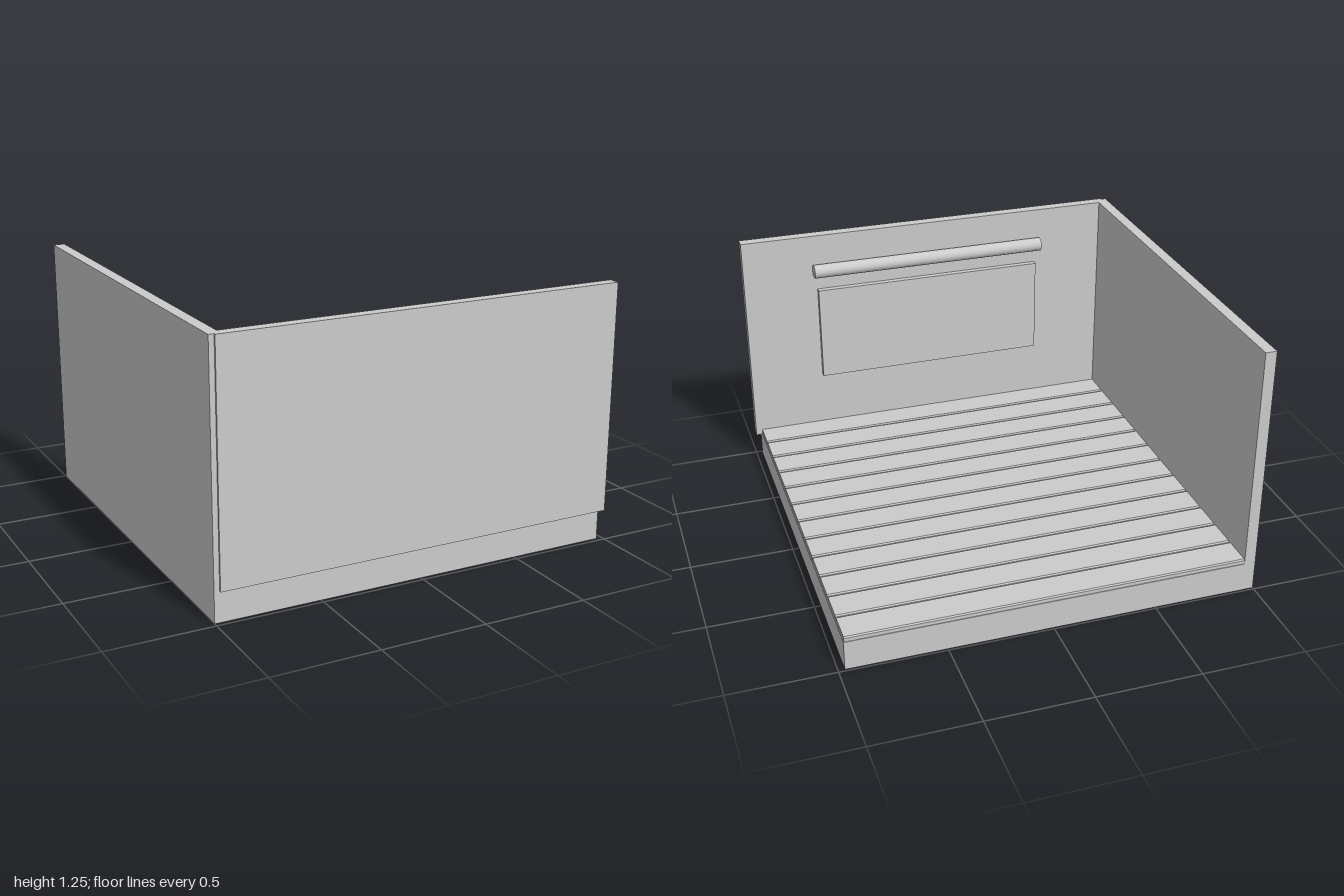
import * as THREE from 'three';

const material = new THREE.MeshStandardMaterial({ color: 0xcccccc });

// Box given by its minimum and maximum corners
function block(name, [x0, y0, z0], [x1, y1, z1]) {
  const mesh = new THREE.Mesh(new THREE.BoxGeometry(x1 - x0, y1 - y0, z1 - z0), material);
  mesh.position.set((x0 + x1) / 2, (y0 + y1) / 2, (z0 + z1) / 2);
  mesh.name = name;
  return mesh;
}

// Floorboard along x with chamfered upper long edges
function plank(z0, z1) {
  const bottom = 0.13, top = 0.17, c = 0.006, x0 = -0.97, x1 = 0.967;
  const shape = new THREE.Shape([
    [-z1, bottom], [-z0, bottom], [-z0, top - c], [-z0 - c, top], [-z1 + c, top], [-z1, top - c],
  ].map(([a, b]) => new THREE.Vector2(a, b)));
  const geometry = new THREE.ExtrudeGeometry(shape, { depth: x1 - x0, bevelEnabled: false });
  geometry.rotateY(Math.PI / 2); // profile axis becomes -z, depth becomes +x
  geometry.translate(x0, 0, 0);
  const mesh = new THREE.Mesh(geometry, material);
  mesh.name = 'floorPlank';
  return mesh;
}

export function createModel() {
  const model = new THREE.Group();
  model.name = 'roomCorner';

  // Base slab and the two walls
  model.add(block('floorSlab', [-1, 0, -0.99], [0.97, 0.146, 0.98]));
  model.add(block('sideWall', [-1, 0.146, -0.99], [-0.945, 1.245, 0.98]));
  model.add(block('frontWall', [-0.975, 0.142, 0.935], [1, 1.245, 0.99]));

  // Floorboards separated by narrow grooves
  const planks = new THREE.Group();
  planks.name = 'floorPlanks';
  const pitch = 0.162, gap = 0.008;
  for (let i = 0; i < 12; i++) {
    const start = -0.991 + i * pitch;
    planks.add(plank(start + gap / 2, start + pitch - gap / 2));
  }
  model.add(planks);

  // Wall panel with a round bar above it
  model.add(block('wallPanel', [-0.575, 0.455, 0.905], [0.62, 0.95, 0.945]));
  const bar = new THREE.Mesh(new THREE.CylinderGeometry(0.035, 0.035, 1.235, 32), material);
  bar.rotation.z = Math.PI / 2;
  bar.position.set(0.0225, 1.062, 0.902);
  bar.name = 'wallBar';
  model.add(bar);

  return model;
}
